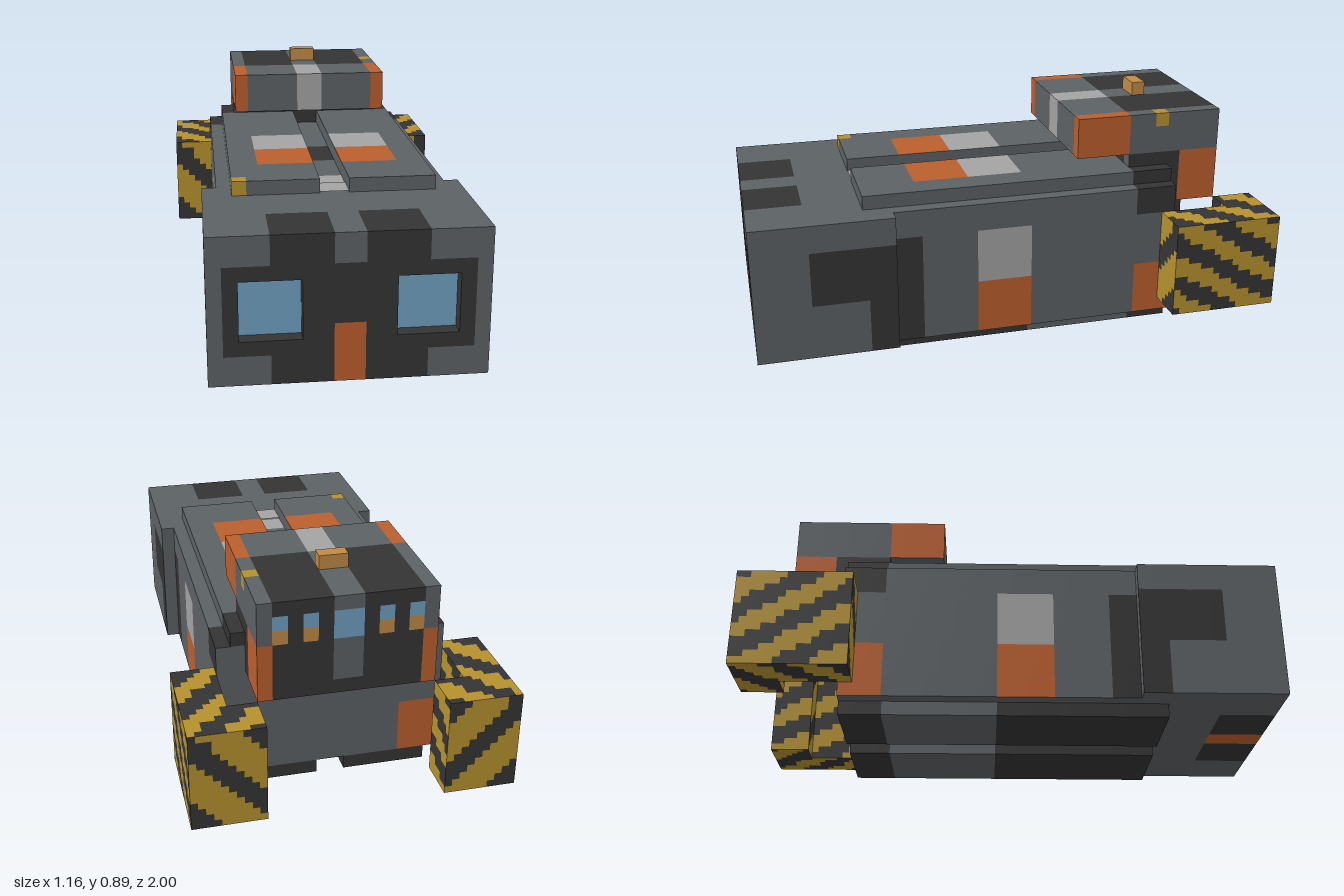
import * as THREE from 'three';

const U = 1 / 19; // one modelling unit

const COLORS = {
  hullGrey: 0x5c6164, darkPanel: 0x343434, orangePaint: 0xbb5e2c, palePaint: 0xa3a3a3,
  glassBlue: 0x6f9fc0, hazardYellow: 0xb5912d, beaconAmber: 0xc08a45,
};

export function createModel() {
  const model = new THREE.Group();
  model.name = 'vehicle';
  const mats = {};
  for (const [name, hex] of Object.entries(COLORS)) {
    mats[name] = new THREE.MeshStandardMaterial({ color: hex });
    mats[name].name = name;
  }
  const G = 'hullGrey', D = 'darkPanel', O = 'orangePaint', W = 'palePaint';
  const B = 'glassBlue', Y = 'hazardYellow', A = 'beaconAmber';
  const within = (v, a, b) => v > a && v < b;

  // Box whose faces are cut in cells; rule(x, y, z, normal) names each cell's colour, null leaves a hole
  function block(name, [x0, x1], [y0, y1], [z0, z1], rule, { cells = 1, inside = false } = {}) {
    const w = x1 - x0, h = y1 - y0, d = z1 - z0;
    const box = new THREE.BoxGeometry(w, h, d, w * cells, h * cells, d * cells).toNonIndexed();
    box.translate((x0 + x1) / 2, (y0 + y1) / 2, (z0 + z1) / 2);
    const p = box.attributes.position, n = box.attributes.normal;
    const buckets = {};
    for (let i = 0; i < p.count; i += 6) {
      const c = new THREE.Vector3(), v = new THREE.Vector3();
      for (let k = 0; k < 6; k++) c.addScaledVector(v.fromBufferAttribute(p, i + k), 1 / 6);
      const normal = new THREE.Vector3().fromBufferAttribute(n, i);
      const color = rule(c.x, c.y, c.z, normal);
      if (!color) continue;
      const bucket = (buckets[color] ??= { pos: [], nor: [] });
      const order = inside ? [0, 2, 1, 3, 5, 4] : [0, 1, 2, 3, 4, 5];
      for (const k of order) {
        v.fromBufferAttribute(p, i + k).multiplyScalar(U);
        bucket.pos.push(v.x, v.y, v.z);
        v.copy(normal).multiplyScalar(inside ? -1 : 1);
        bucket.nor.push(v.x, v.y, v.z);
      }
    }
    const geo = new THREE.BufferGeometry(), pos = [], nor = [], list = [];
    for (const [color, b] of Object.entries(buckets)) {
      geo.addGroup(pos.length / 3, b.pos.length / 3, list.length);
      list.push(mats[color]);
      pos.push(...b.pos);
      nor.push(...b.nor);
    }
    geo.setAttribute('position', new THREE.Float32BufferAttribute(pos, 3));
    geo.setAttribute('normal', new THREE.Float32BufferAttribute(nor, 3));
    const mesh = new THREE.Mesh(geo, list.length === 1 ? list[0] : list);
    if (list.length === 1) geo.clearGroups();
    mesh.name = name;
    model.add(mesh);
  }

  // Nose with two window openings
  block('nose', [-9, 9], [1, 11], [9, 19], (x, y, z, n) => {
    const a = Math.abs(x);
    if (n.z > 0) {
      if (within(a, 3, 7) && within(y, 4, 8)) return null;
      if (a < 1 && y < 5) return O;
      if (y > 9) return within(a, 1, 5) ? D : G;
      if (y < 3) return a < 5 ? D : G;
      return a < 8 ? D : G;
    }
    if (n.x) return y < 9 && z < 15 && (y > 5 || z < 11) ? D : G;
    if (n.y > 0) return within(a, 1, 5) && z > 15 ? D : G;
    if (n.y < 0 && z > 15 && a < 5) return a < 1 ? O : D;
    return G;
  });

  // Main hull
  block('hull', [-8, 8], [1, 11], [-12, 9], (x, y, z, n) => {
    const a = Math.abs(x);
    if (n.x) {
      if (y < 9 && z > 7) return D;
      if (within(z, -1, 3) && y < 9) return y > 5 ? W : O;
      if (z < -9) return y < 5 ? O : y > 9 ? D : G;
    }
    if (n.z < 0) return a > 5 && y < 5 ? O : G;
    if (n.y > 0) {
      if (a < 1) return within(z, -1, 3) ? D : z > 7 ? W : G;
      return z < -9 ? D : G;
    }
    if (n.y < 0 && a < 1) return within(z, -1, 7) ? O : z > 7 ? W : G;
    return G;
  });
  // Pale strip continuing onto the nose between the roof slabs
  block('noseStripe', [-1, 1], [11, 11.1], [9, 11], () => W);

  for (const s of [-1, 1]) {
    const span = (a, b) => (s > 0 ? [a, b] : [-b, -a]);

    // Recessed windows
    block('window', span(3, 7), [4, 8], [18, 19],
      (x, y, z, n) => (n.z > 0 ? null : n.z < 0 ? B : D), { inside: true });

    // Roof slabs
    block('roofSlab', span(1, 7), [11, 12], [-12, 11], (x, y, z, n) => {
      if (x < -6 && z > 10 && n.y >= 0) return Y;
      if (n.y > 0 && Math.abs(x) < 5 && within(z, -1, 7)) return z < 3 ? W : O;
      return z < -9 ? D : G;
    });

    // Belly skids
    block('bellySkid', span(1, 7), [0, 1], [-12, 11], (x, y, z, n) => {
      if (n.z > 0) return Math.abs(x) < 5 ? G : D;
      return z > -1 || z < -9 ? D : G;
    });

    // Striped hazard bumpers, L-shaped around the rear corners
    const hazard = (x, y, z, n) => {
      const a = Math.abs(x);
      const [t, period, lit] = n.x ? [y - 0.6 * z, 3, 1.5]
        : n.z ? [y - a + 6.5, 5, 2.75] : [z + a, 4, 2];
      return ((t % period) + period) % period < lit ? Y : D;
    };
    block('bumperArm', span(8, 11), [2, 9], [-16, -11],
      (x, y, z, n) => (n.z < 0 ? null : hazard(x, y, z, n)), { cells: 2 });
    block('bumperEnd', span(6, 11), [2, 9], [-19, -16], hazard, { cells: 2 });
  }

  // Shared pattern of the cabin's rear wall
  const cabinRear = (x, y) => {
    const a = Math.abs(x);
    if (a > 5) return y < 13 ? O : G;
    if (a < 1) return y > 15 ? G : y > 13 ? B : y > 10 ? G : D;
    if (within(a, 2, 3) || within(a, 4, 5)) {
      if (within(y, 14, 15)) return B;
      if (within(y, 13, 14)) return A;
    }
    return D;
  };

  // Cabin base
  block('cabinBase', [-6, 6], [9, 13], [-16, -9], (x, y, z, n) => {
    if (n.y > 0) return null;
    if (n.z < 0) return cabinRear(x, y);
    if (n.x) return z < -13 ? O : D;
    if (n.z > 0) return Math.abs(x) < 5 ? D : G;
    return D;
  });

  // Cabin top
  block('cabinTop', [-6, 6], [13, 16], [-16, -5], (x, y, z, n) => {
    const a = Math.abs(x);
    if (n.z < 0) return cabinRear(x, y);
    if (n.y < 0) return G;
    if (x > 5 && y > 15 && within(z, -12, -11)) return Y;
    if (n.x) return z > -9 ? O : G;
    if (z > -9) return a > 5 ? O : a < 1 ? W : G;
    return within(a, 1, 5) ? D : G;
  });

  // Beacon
  block('beacon', [-1, 1], [16, 17], [-12, -11], () => A);

  return model;
}
